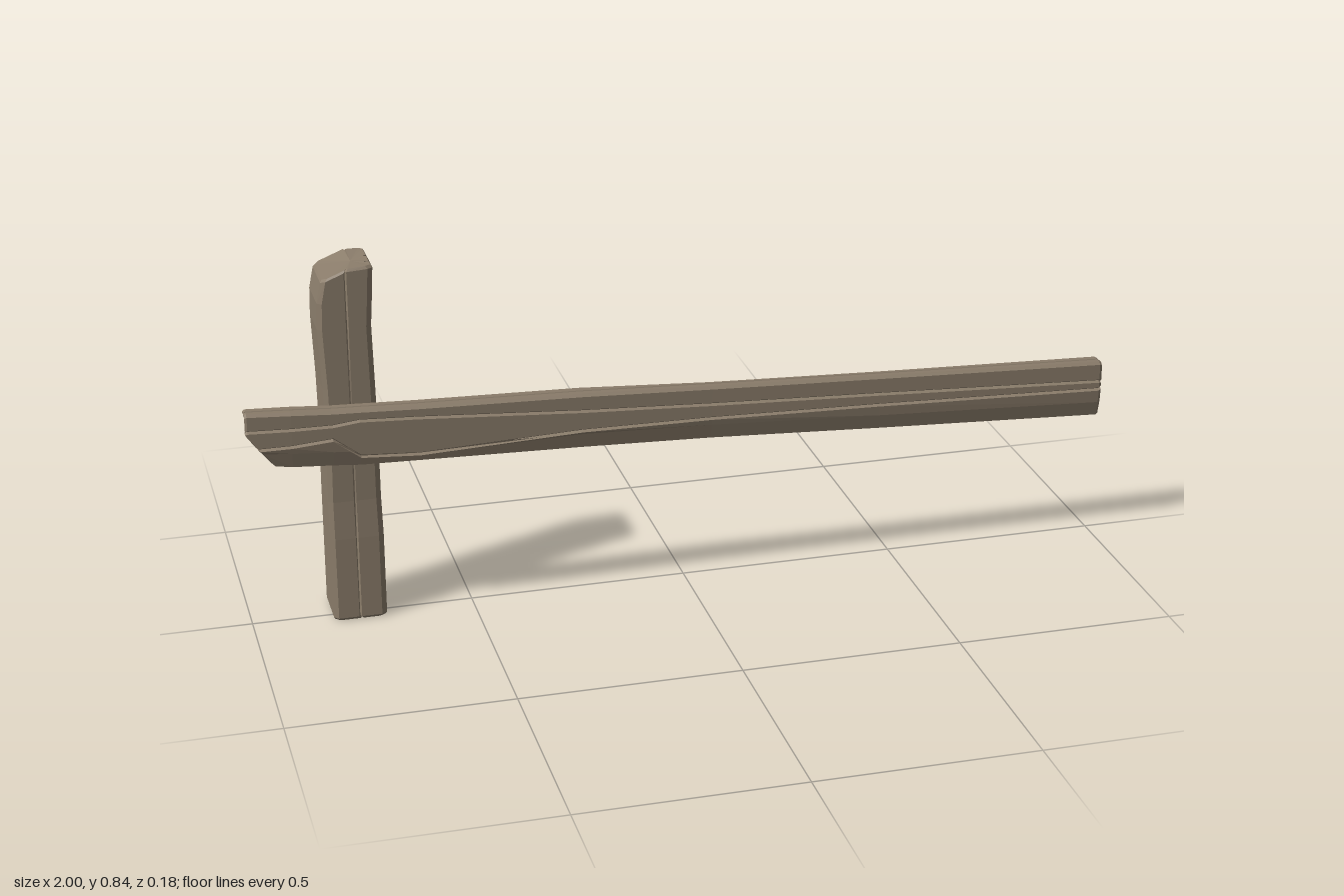
import * as THREE from 'three';

const wood = new THREE.MeshStandardMaterial({ color: 0x8b7d6b, flatShading: true });

// Skin a series of equal-length rings of [x, y, z], closing both ends
function loft(rings, name) {
  const n = rings[0].length, pos = [], index = [];
  rings.forEach((r) => r.forEach((p) => pos.push(...p)));
  for (let i = 0; i < rings.length - 1; i++) {
    for (let j = 0; j < n; j++) {
      const a = i * n + j, b = i * n + ((j + 1) % n);
      index.push(a, b, b + n, a, b + n, a + n);
    }
  }
  [0, rings.length - 1].forEach((i) => {
    const c = [0, 1, 2].map((k) => rings[i].reduce((s, p) => s + p[k], 0) / n);
    const center = pos.length / 3;
    pos.push(...c);
    for (let j = 0; j < n; j++) {
      const a = i * n + j, b = i * n + ((j + 1) % n);
      index.push(center, ...(i === 0 ? [b, a] : [a, b]));
    }
  });
  const indexed = new THREE.BufferGeometry();
  indexed.setAttribute('position', new THREE.Float32BufferAttribute(pos, 3));
  indexed.setIndex(index);
  const geometry = indexed.toNonIndexed();
  geometry.computeVertexNormals();
  const mesh = new THREE.Mesh(geometry, wood);
  mesh.name = name;
  return mesh;
}

// Pull a ring towards its centre across the beam to bevel an end
function inset(ring, axis, amount, shift) {
  const c = [0, 1, 2].map((k) => ring.reduce((s, p) => s + p[k], 0) / ring.length);
  return ring.map((p) => p.map((v, k) => (k === axis ? v + shift : v - Math.sign(v - c[k]) * amount)));
}

// Upright post: y, left, right, back, front, cut of back right corner, crack depth
function createPost() {
  const sections = [
    [0.006, -0.82, -0.70, -0.09, 0.038, 0.006, 0.008],
    [0.20, -0.82, -0.70, -0.088, 0.037, 0.008, 0.007],
    [0.29, -0.82, -0.702, -0.086, 0.034, 0.01, 0.002],
    [0.45, -0.818, -0.703, -0.09, 0.037, 0.01, 0.001],
    [0.56, -0.82, -0.705, -0.088, 0.037, 0.012, 0.001],
    [0.70, -0.826, -0.708, -0.084, 0.037, 0.02, 0.003],
    [0.76, -0.824, -0.704, -0.087, 0.037, 0.016, 0.006],
    [0.832, -0.814, -0.70, -0.09, 0.037, 0.008, 0.006],
  ];
  const rings = sections.map(([y, l, r, b, f, cut, crack], i) => {
    const outline = [
      [l + 0.010, f], [-0.764, f], [-0.761, f - crack], [-0.758, f], [r - 0.012, f], [r, f - 0.008],
      [r, 0.011], [r - 0.006, 0.008], [r, 0.005],
      [r, -0.033], [r - crack, -0.036], [r, -0.039],
      [r, b + cut], [r - cut, b],
      [-0.744, b], [-0.747, b + 0.006], [-0.75, b], [l + 0.010, b], [l, b + 0.010], [l, f - 0.010],
    ];
    // the top falls away towards the outer side
    const top = i === sections.length - 1;
    return outline.map(([x, z]) => [x, y - (top ? Math.max(0, -0.75 - x) * 0.4 : 0), z]);
  });
  const base = inset(rings[0], 1, 0.004, -0.006);
  const cap = inset(rings[rings.length - 1], 1, 0.004, 0.006);
  return loft([base, ...rings, cap], 'post');
}

// Slanting rail: x, top, bottom, back, front, upper crack y, lower crack y, back top chip
function createRail() {
  const sections = [
    [-0.995, 0.543, 0.412, 0.050, 0.090, 0.502, 0.458, 0.004],
    [-0.90, 0.537, 0.406, 0.046, 0.090, 0.498, 0.458, 0.004],
    [-0.81, 0.530, 0.399, 0.043, 0.088, 0.496, 0.464, 0.006],
    [-0.75, 0.527, 0.393, 0.041, 0.086, 0.502, 0.418, 0.006],
    [-0.62, 0.520, 0.388, 0.037, 0.083, 0.494, 0.408, 0.006],
    [-0.25, 0.505, 0.374, 0.028, 0.074, 0.465, 0.418, 0.004],
    [0.05, 0.488, 0.360, 0.021, 0.066, 0.446, 0.412, 0.014],
    [0.45, 0.468, 0.336, 0.014, 0.058, 0.425, 0.398, 0.012],
    [0.994, 0.443, 0.307, 0.006, 0.050, 0.396, 0.376, 0.005],
  ];
  const rings = sections.map(([x, t, b, k, f, g1, g2, chip], i) => {
    const m = (k + f) / 2;
    const outline = [
      [t, k + chip], [t, m - 0.003], [t - 0.005, m], [t, m + 0.003], [t, f - 0.007], [t - 0.006, f],
      [g1 + 0.004, f], [g1, f - 0.007], [g1 - 0.004, f],
      [g2 + 0.004, f], [g2, f - 0.007], [g2 - 0.004, f],
      [b + 0.035, f - 0.003], [b, f - 0.012], [b, k + 0.012], [b + 0.025, k],
      [b + 0.034, k], [b + 0.037, k + 0.004], [b + 0.040, k], [t - chip, k],
    ];
    // the outer end is cut back along its lower corner
    return outline.map(([y, z]) => [x + (i === 0 ? Math.max(0, 0.49 - y) * 0.75 : 0), y, z]);
  });
  const start = inset(rings[0], 0, 0.003, -0.005);
  const end = inset(rings[rings.length - 1], 0, 0.003, 0.006);
  return loft([start, ...rings, end], 'rail');
}

export function createModel() {
  const group = new THREE.Group();
  group.name = 'brokenFence';
  group.add(createPost(), createRail());
  return group;
}
